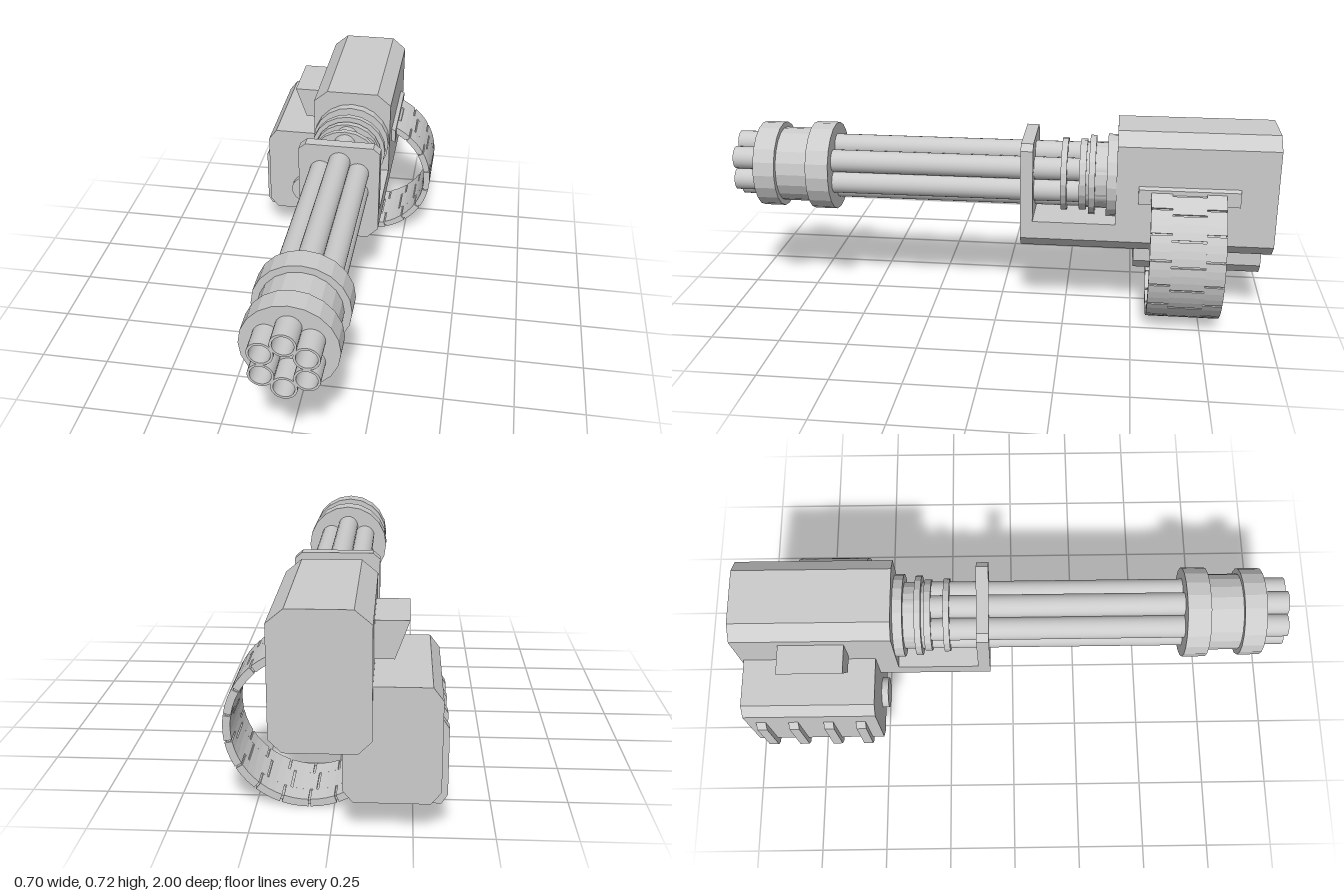
import * as THREE from 'three';

const smooth = new THREE.MeshStandardMaterial({ color: 0xcccccc, side: THREE.DoubleSide });
const faceted = new THREE.MeshStandardMaterial({ color: 0xcccccc, flatShading: true, side: THREE.DoubleSide });
const AX = 0.031, AY = 0.515; // barrel cluster axis

export function createModel() {
  const model = new THREE.Group();

  const add = (name, geometry, material = faceted, parent = model) => {
    const mesh = new THREE.Mesh(geometry, material);
    mesh.name = name;
    parent.add(mesh);
    return mesh;
  };

  // Front-view outline extruded between two z positions
  const prism = (name, points, z0, z1, parent = model) => {
    const shape = new THREE.Shape(points.map(([x, y]) => new THREE.Vector2(x, y)));
    const g = new THREE.ExtrudeGeometry(shape, { depth: z1 - z0, bevelEnabled: false });
    g.translate(0, 0, z0);
    return add(name, g, faceted, parent);
  };

  // Rectangle with cut corners; t and b are [dx, dy] cuts at top and bottom
  const cutRect = (x0, x1, y0, y1, t, b) => [
    [x0 + b[0], y0], [x1 - b[0], y0], [x1, y0 + b[1]], [x1, y1 - t[1]],
    [x1 - t[0], y1], [x0 + t[0], y1], [x0, y1 - t[1]], [x0, y0 + b[1]],
  ];

  // Disc on a z-parallel axis
  const disc = (name, r, z0, z1, sides = 20, x = AX, y = AY, material = faceted) => {
    const g = new THREE.CylinderGeometry(r, r, z1 - z0, sides);
    g.rotateX(Math.PI / 2);
    g.translate(x, y, (z0 + z1) / 2);
    return add(name, g, material);
  };

  // Receiver, cradle floor and front support plate
  prism('receiver', cutRect(-0.125, 0.185, 0.27, 0.717, [0.054, 0.045], [0.042, 0.042]), -1, -0.43);
  prism('cradleFloor', [[-0.083, 0.27], [0.143, 0.27], [0.185, 0.312], [0.185, 0.377],
    [-0.125, 0.377], [-0.125, 0.312]], -0.43, -0.13);
  prism('supportPlate', cutRect(-0.125, 0.185, 0.27, 0.665, [0.026, 0.022], [0.042, 0.042]), -0.13, -0.085);

  // Six hollow barrels
  const barrels = new THREE.Group();
  barrels.name = 'barrels';
  model.add(barrels);
  const profile = [[0, -0.43], [0.042, -0.43], [0.042, 1], [0.034, 1], [0.034, 0.85], [0, 0.85]];
  for (let i = 0; i < 6; i++) {
    const a = Math.PI / 2 + i * Math.PI / 3;
    // Doubled points keep the muzzle edges crisp
    const pts = profile.flatMap(([r, z]) => [new THREE.Vector2(r, z), new THREE.Vector2(r, z)]);
    const g = new THREE.LatheGeometry(pts.slice(1, -1), 24);
    g.rotateX(Math.PI / 2);
    g.translate(AX + 0.082 * Math.cos(a), AY + 0.082 * Math.sin(a), 0);
    add('barrel', g, smooth, barrels);
  }

  // Muzzle clamp
  disc('clampFront', 0.16, 0.83, 0.91);
  disc('clampSleeve', 0.14, 0.71, 0.83);
  disc('clampRear', 0.165, 0.625, 0.71);

  // Rotor discs behind the support plate
  disc('rotorRing', 0.135, -0.25, -0.228);
  disc('rotorRing', 0.132, -0.32, -0.295);
  disc('rotorRing', 0.147, -0.353, -0.33);
  disc('rotorCore', 0.123, -0.40, -0.32);
  disc('rotorBase', 0.153, -0.44, -0.395);

  // Ammunition box with round cap and wrap-around ribs
  prism('ammoBox', cutRect(-0.333, -0.035, 0.108, 0.482, [0.032, 0.042], [0.032, 0.039]), -0.99, -0.505);
  disc('boxCap', 0.058, -0.51, -0.48, 32, -0.175, 0.218, smooth);
  for (const z of [-0.938, -0.818, -0.688, -0.568]) {
    prism('boxRib', [[-0.333, 0.37], [-0.353, 0.34], [-0.353, 0.125], [-0.335, 0.095], [-0.2, 0.095],
      [-0.193, 0.108], [-0.193, 0.12], [-0.29, 0.12], [-0.32, 0.15], [-0.32, 0.37]], z - 0.018, z + 0.018);
  }

  // Hollow ejection chute, open on its sloping outer side
  const chute = new THREE.Group();
  chute.name = 'ejectionChute';
  model.add(chute);
  const side = [[-0.232, 0.635], [-0.187, 0.512], [-0.12, 0.512], [-0.12, 0.635]];
  prism('chuteEnd', side, -0.835, -0.795, chute);
  prism('chuteEnd', side, -0.64, -0.6, chute);
  prism('chuteTop', [[-0.232, 0.635], [-0.221, 0.605], [-0.12, 0.605], [-0.12, 0.635]], -0.795, -0.64, chute);
  prism('chuteBottom', [[-0.198, 0.542], [-0.187, 0.512], [-0.12, 0.512], [-0.12, 0.542]], -0.795, -0.64, chute);

  // Feed port on the receiver side
  prism('feedPort', [[0.18, 0.478], [0.201, 0.466], [0.201, 0.52], [0.18, 0.53]], -0.87, -0.51);

  // Curved ammunition belt made of interlocking links
  const belt = new THREE.Group();
  belt.name = 'ammoBelt';
  model.add(belt);
  const arc = (name, r0, r1, from, to, z0, z1) => {
    const n = Math.max(2, Math.ceil((to - from) / 7)), outer = [], inner = [];
    for (let i = 0; i <= n; i++) {
      const a = THREE.MathUtils.degToRad(from + (to - from) * i / n);
      outer.push([0.083 + r1 * Math.cos(a), 0.27 + r1 * Math.sin(a)]);
      inner.unshift([0.083 + r0 * Math.cos(a), 0.27 + r0 * Math.sin(a)]);
    }
    prism(name, [...outer, ...inner], z0, z1, belt);
  };
  arc('beltCore', 0.248, 0.262, -146, 66, -0.815, -0.56);
  for (let i = 0; i < 11; i++) {
    const a = -150 + i * 20;
    const end = Math.min(a + 18.5, 66);
    arc('linkSide', 0.243, 0.268, a, end, -0.82, -0.75);
    arc('linkSide', 0.243, 0.268, a, end, -0.63, -0.555);
    arc('linkMiddle', 0.243, 0.268, a - 5, end - 5, -0.75, -0.63);
  }
  return model;
}
